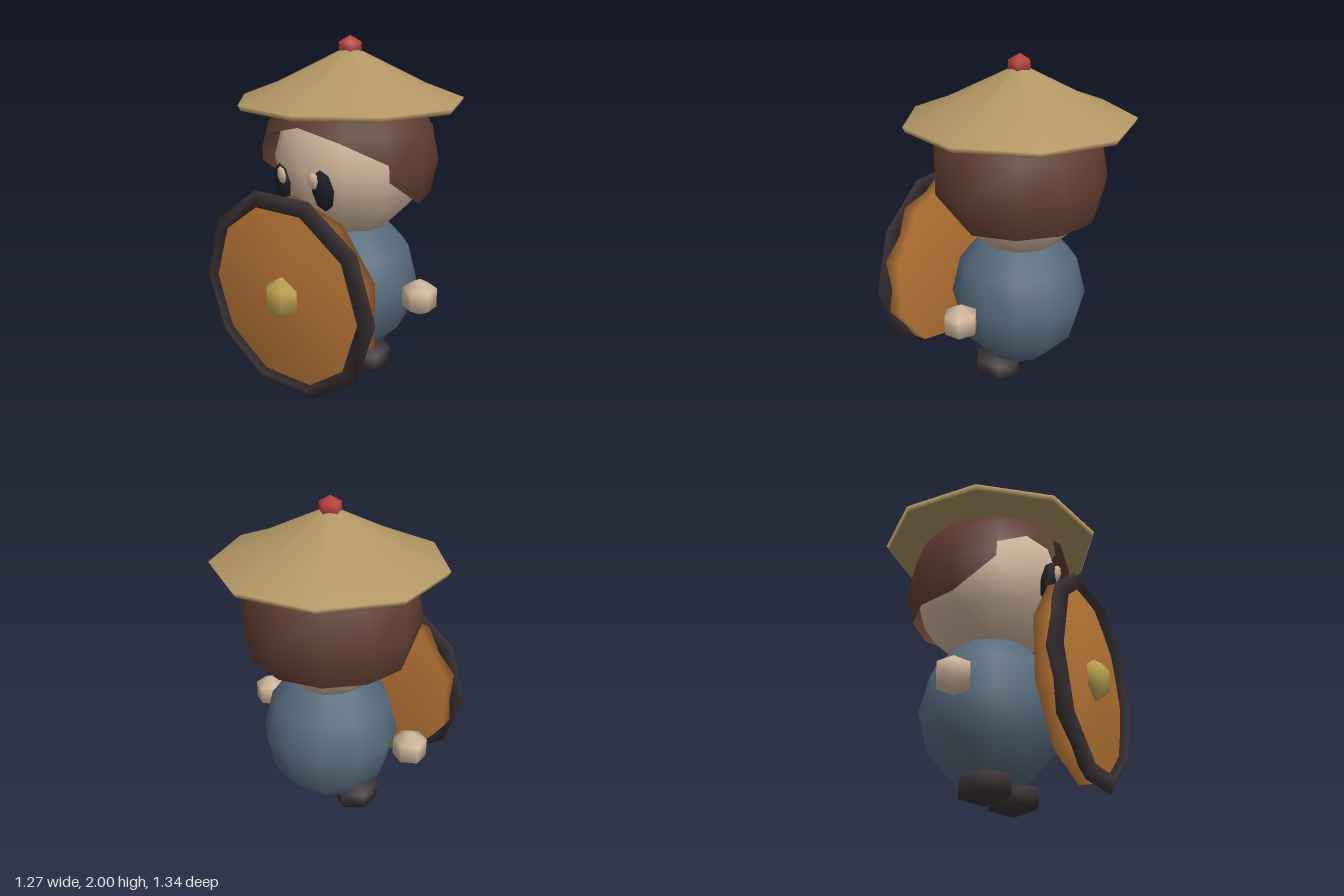
import * as THREE from 'three';

const mat = (name, color, side = THREE.FrontSide) => {
  const m = new THREE.MeshStandardMaterial({ color, side });
  m.name = name;
  return m;
};

export function createModel() {
  const straw = mat('straw', 0xb29664);
  const red = mat('red', 0xb8403c);
  const brown = mat('hairBrown', 0x5e3c30, THREE.DoubleSide);
  const skin = mat('skin', 0xd0b69c);
  const blue = mat('clothBlue', 0x566a7c);
  const wood = mat('wood', 0xb87636);
  const dark = mat('darkLeather', 0x393033);
  const gold = mat('brass', 0xc0a450);
  const black = mat('eyeBlack', 0x1d1e22);

  const model = new THREE.Group();
  model.name = 'hatGuard';
  const figure = new THREE.Group();
  figure.name = 'figure';
  figure.position.x = -0.02;
  model.add(figure);

  const add = (name, geometry, material, x, y, z) => {
    const mesh = new THREE.Mesh(geometry, material);
    mesh.name = name;
    mesh.position.set(x, y, z);
    figure.add(mesh);
    return mesh;
  };
  // Low-poly ellipsoid; turn rotates its sides about y before scaling
  const ball = (rx, ry, rz, w, h, turn = 0) =>
    new THREE.SphereGeometry(1, w, h).rotateY(turn).scale(rx, ry, rz);
  const lathe = (points, sides, start = 0) =>
    new THREE.LatheGeometry(points.map(([r, y]) => new THREE.Vector2(r, y)), sides, start);

  // Body and head
  add('body', ball(0.41, 0.45, 0.41, 12, 6), blue, 0, 0.55, -0.02);
  add('head', ball(0.45, 0.45, 0.45, 12, 6), skin, 0, 1.31, -0.03);
  add('hair', hairGeometry(0.515), brown, 0, 1.31, -0.015);

  // Hat with nine sides and a small knob
  const hat = [[0, 1.622], [0.64, 1.62], [0.655, 1.65], [0.43, 1.735], [0.05, 1.922], [0, 1.93]];
  add('hat', lathe(hat, 9, Math.PI / 2), straw, 0, 0, -0.025);
  add('hatKnob', ball(0.075, 0.07, 0.075, 5, 3, -Math.PI / 2), red, 0, 1.93, -0.025);

  // Paired parts
  for (const [side, s] of [['left', 1], ['right', -1]]) {
    add(side + 'Hand', ball(0.112, 0.11, 0.112, 6, 3, Math.PI / 2), skin, s * 0.53, 0.585, 0.04);
    add(side + 'Foot', ball(0.147, 0.1, 0.178, 6, 3, Math.PI / 2), dark, s * 0.17, 0.1, 0.03);
    const eye = add(side + 'Eye', ball(0.063, 0.122, 0.035, 6, 4), black, s * 0.14, 1.225, 0.412);
    eye.rotation.set(0.2, s * 0.3, 0);
    const glint = add(side + 'EyeGlint', ball(0.032, 0.052, 0.02, 6, 4), skin, s * 0.11, 1.283, 0.453);
    glint.rotation.set(0.2, s * 0.3, 0);
  }

  // Round shield: board, triangular-section rim and boss
  const board = [[0, 0.48], [0.55, 0.48], [0.55, 0.575], [0, 0.6]];
  add('shieldBoard', lathe(board, 10).rotateX(Math.PI / 2), wood, 0, 0.645, 0);
  add('shieldRim', new THREE.TorusGeometry(0.547, 0.053, 3, 10), dark, 0, 0.645, 0.585);
  add('shieldBoss', ball(0.12, 0.12, 0.086, 6, 3), gold, 0, 0.645, 0.602);

  return model;
}

// Spherical cap with a cut-out for the face: each column is [degrees from front, lower edge y]
function hairGeometry(r) {
  const half = [[0, 0.24], [30, 0.18], [60, 0.06], [60.2, -0.03], [90, -0.2], [120, -0.2], [150, -0.2]];
  const columns = [...half, [180, -0.2], ...half.slice().reverse().map(([a, y]) => [360 - a, y])];
  const rings = [-22.8, 0, 22.5, 45, 67.5, 90];
  const pos = [], index = [];
  for (const [deg, low] of columns) {
    const a = THREE.MathUtils.degToRad(deg);
    const lowest = Math.asin(low / r);
    for (const ring of rings) {
      const lat = Math.max(THREE.MathUtils.degToRad(ring), lowest);
      pos.push(r * Math.cos(lat) * Math.sin(a), r * Math.sin(lat), r * Math.cos(lat) * Math.cos(a));
    }
  }
  const n = rings.length;
  for (let c = 0; c < columns.length - 1; c++) {
    for (let i = 0; i < n - 1; i++) {
      const p = c * n + i, q = p + n;
      index.push(p, q, q + 1, p, q + 1, p + 1);
    }
  }
  const g = new THREE.BufferGeometry();
  g.setAttribute('position', new THREE.Float32BufferAttribute(pos, 3));
  g.setAttribute('normal', new THREE.Float32BufferAttribute(pos.map((v) => v / r), 3));
  g.setIndex(index);
  return g;
}
